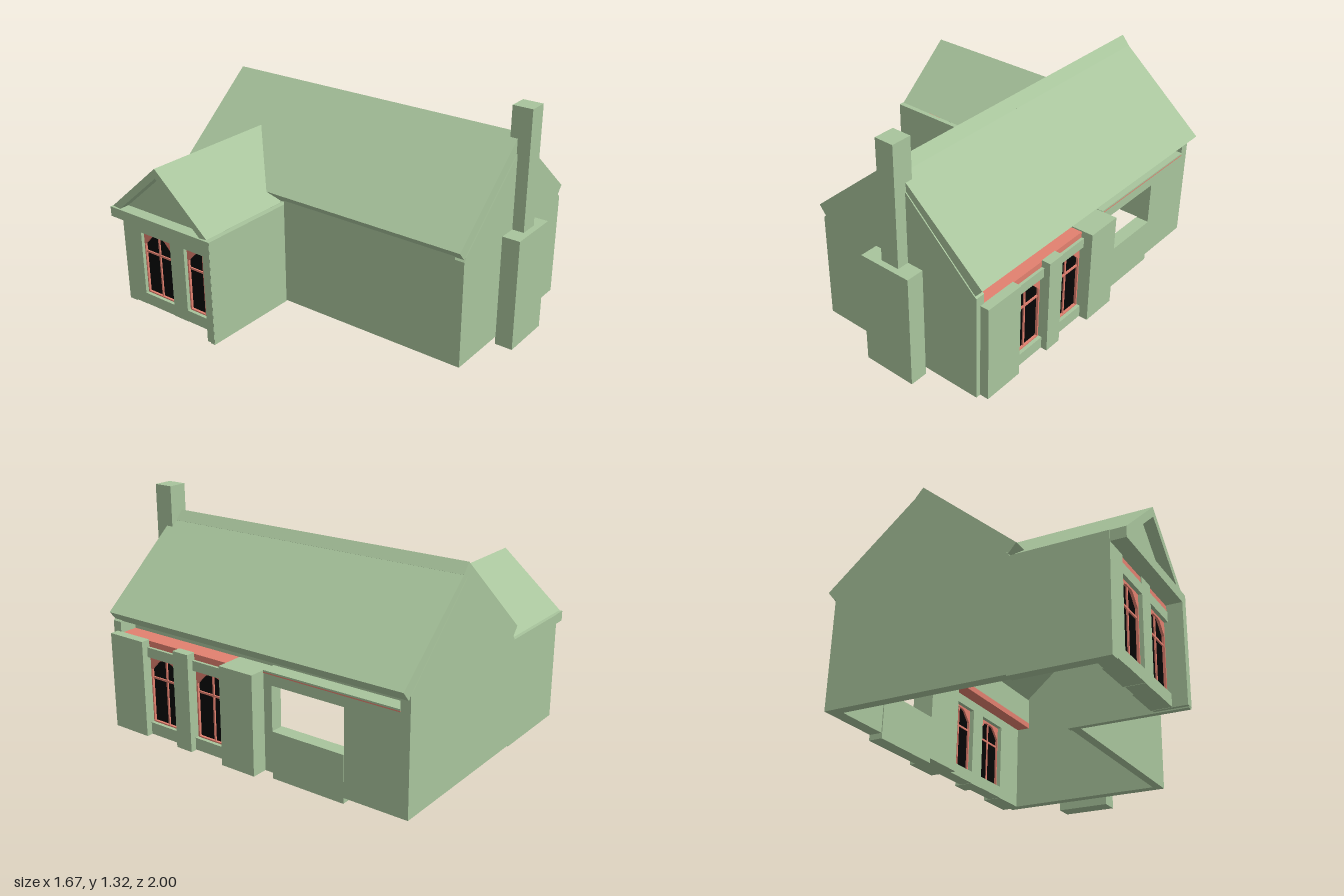
import * as THREE from 'three';

const mat = (color) => new THREE.MeshStandardMaterial({ color, flatShading: true, side: THREE.DoubleSide });

export function createModel() {
  const house = new THREE.Group();
  house.name = 'house';
  const green = mat(0xa8c49c), red = mat(0xe2806f), black = mat(0x050505);

  const add = (parent, name, geometry, material = green) => {
    const mesh = new THREE.Mesh(geometry, material);
    mesh.name = name;
    parent.add(mesh);
    return mesh;
  };
  // box given by its limits on each axis
  const box = (parent, name, [x0, x1], [y0, y1], [z0, z1], material) => {
    const g = new THREE.BoxGeometry(x1 - x0, y1 - y0, z1 - z0);
    g.translate((x0 + x1) / 2, (y0 + y1) / 2, (z0 + z1) / 2);
    return add(parent, name, g, material);
  };
  const outline = (pts) => new THREE.Shape(pts.map(([x, y]) => new THREE.Vector2(x, y)));
  const extrude = (shape, depth) => new THREE.ExtrudeGeometry(shape, { depth, bevelEnabled: false });
  // shape drawn in (z, y), extruded along x from x0 to x1
  const extrudeX = (shape, x0, x1) => extrude(shape, x1 - x0).rotateY(-Math.PI / 2).translate(x1, 0, 0);

  // end walls of the main house, their gables just reaching into the roof slabs
  const gable = (right) => outline([[-0.25, 0.045], [right, 0.045], [right, 0.645], [0.745, 0.665],
    [0.275, 1.105], [-0.235, 0.67], [-0.25, 0.65]]);
  add(house, 'frontGableWall', extrude(gable(0.77), 0.055).translate(0, 0, 0.843));
  add(house, 'backGableWall', extrude(gable(0.745), 0.055).translate(0, 0, -1));

  // long side walls and wing walls
  box(house, 'sideWall', [-0.25, -0.2], [0.045, 0.68], [-0.255, 0.843]);
  box(house, 'wingBackWall', [-0.76, -0.25], [0.038, 0.645], [-1, -0.945]);
  box(house, 'wingFrontWall', [-0.838, -0.2], [0.038, 0.645], [-0.285, -0.255]);
  box(house, 'eaveBeam', [0.63, 0.665], [0.583, 0.74], [-0.945, 0.843]);

  // side wall with an unglazed opening
  const openWall = outline([[-0.945, 0.045], [-0.145, 0.045], [-0.145, 0.577], [-0.945, 0.577]]);
  openWall.holes.push(new THREE.Path([[-0.635, 0.275], [-0.195, 0.275], [-0.195, 0.52], [-0.635, 0.52]]
    .map(([z, y]) => new THREE.Vector2(z, y))));
  add(house, 'openingWall', extrudeX(openWall, 0.675, 0.745));
  box(house, 'openingFooting', [0.67, 0.748], [0.015, 0.275], [-0.635, -0.195]);
  box(house, 'openingTrim', [0.64, 0.748], [0.577, 0.583], [-0.945, -0.145], red);
  box(house, 'openingWallCap', [0.64, 0.748], [0.583, 0.592], [-0.945, -0.145]);

  // main roof: two slabs, the left one capping the ridge
  const roof = [
    ['leftRoofSlab', [[-0.285, 0.71], [0.26, 1.175], [0.305, 1.122], [-0.24, 0.657]]],
    ['rightRoofSlab', [[0.8, 0.7], [0.3, 1.125], [0.255, 1.072], [0.755, 0.647]]],
  ];
  for (const [name, pts] of roof) add(house, name, extrude(outline(pts), 1.887).translate(0, 0, -0.995));

  // wing roof, its inner end cut to the slope of the main roof
  const wingRoof = extrudeX(outline([[-0.985, 0.65], [-0.63, 0.955], [-0.28, 0.65],
    [-0.33, 0.645], [-0.63, 0.9], [-0.93, 0.645]]), -0.83, 0);
  const p = wingRoof.attributes.position;
  for (let i = 0; i < p.count; i++) {
    if (p.getX(i) > -0.1) p.setX(i, Math.max(-0.25, -0.285 + (p.getY(i) - 0.71) / 0.854));
  }
  add(house, 'wingRoof', wingRoof);
  add(house, 'wingGable', extrudeX(outline([[-0.95, 0.64], [-0.63, 0.92], [-0.31, 0.64]]), -0.77, -0.74));

  // arched window facing +x, centred on z = 0
  const makeWindow = () => {
    const win = new THREE.Group();
    win.name = 'window';
    const frame = outline([[-0.112, 0.115], [0.112, 0.115], [0.112, 0.495], [-0.112, 0.495]]);
    const arch = [[-0.103, 0.122], [0.103, 0.122], [0.103, 0.42], [0.05, 0.475], [0.03, 0.483]];
    const full = [...arch, ...arch.slice(2).reverse().map(([z, y]) => [-z, y])];
    frame.holes.push(new THREE.Path(full.map(([z, y]) => new THREE.Vector2(z, y))));
    add(win, 'windowFrame', extrudeX(frame, -0.02, 0.01), red);
    box(win, 'pane', [-0.008, -0.004], [0.12, 0.49], [-0.105, 0.105], black);
    box(win, 'mullion', [-0.014, 0.004], [0.122, 0.483], [-0.005, 0.005], red);
    box(win, 'transom', [-0.014, 0.004], [0.367, 0.378], [-0.103, 0.103], red);
    return win;
  };

  // pair of windows between piers; x = 0 is the outer face
  const makeFacade = (name, recess, piers, trimX, trimZ) => {
    const f = new THREE.Group();
    f.name = name;
    for (const s of [-1, 1]) {
      const z = s * 0.1675, span = [z - 0.115, z + 0.115];
      const win = makeWindow();
      win.position.set(-recess, 0, z);
      f.add(win);
      box(f, 'sillBlock', [-0.11, 0.03 - recess], [0.047, 0.115], span);
      box(f, 'lintel', [-0.11, 0.03 - recess], [0.495, 0.55], span);
    }
    box(f, 'trimBoard', trimX, [0.55, 0.583], trimZ, red);
    for (const [z0, z1, back, out] of piers) box(f, 'pier', [back, out], [0.045, 0.59], [z0, z1]);
    house.add(f);
    return f;
  };
  makeFacade('sideFacade', 0.065, [[0.2775, 0.5175, -0.052, 0], [-0.0525, 0.0525, -0.052, 0],
    [-0.4975, -0.2825, -0.145, 0.015]], [-0.19, -0.051], [-0.283, 0.49]).position.set(0.82, 0, 0.3525);
  box(house, 'cornerWall', [0.71, 0.769], [0.045, 0.55], [0.63, 0.845]);
  box(house, 'middleWall', [0.71, 0.769], [0.045, 0.55], [0.3, 0.405]);

  const wingEnd = makeFacade('wingFacade', 0.03, [[0.2775, 0.414, -0.1, 0], [-0.0525, 0.0525, -0.1, 0],
    [-0.326, -0.2775, -0.1, 0.08]], [-0.11, -0.005], [-0.28, 0.28]);
  wingEnd.rotation.y = Math.PI;
  wingEnd.position.set(-0.76, 0, -0.5825);
  box(house, 'wingCornice', [-0.84, -0.7], [0.588, 0.645], [-0.997, -0.256]);

  // chimney against the front gable
  box(house, 'chimneyBase', [0.125, 0.435], [0, 0.645], [0.897, 1]);
  box(house, 'chimneyStack', [0.23, 0.34], [0.64, 1.32], [0.85, 0.965]);
  return house;
}
